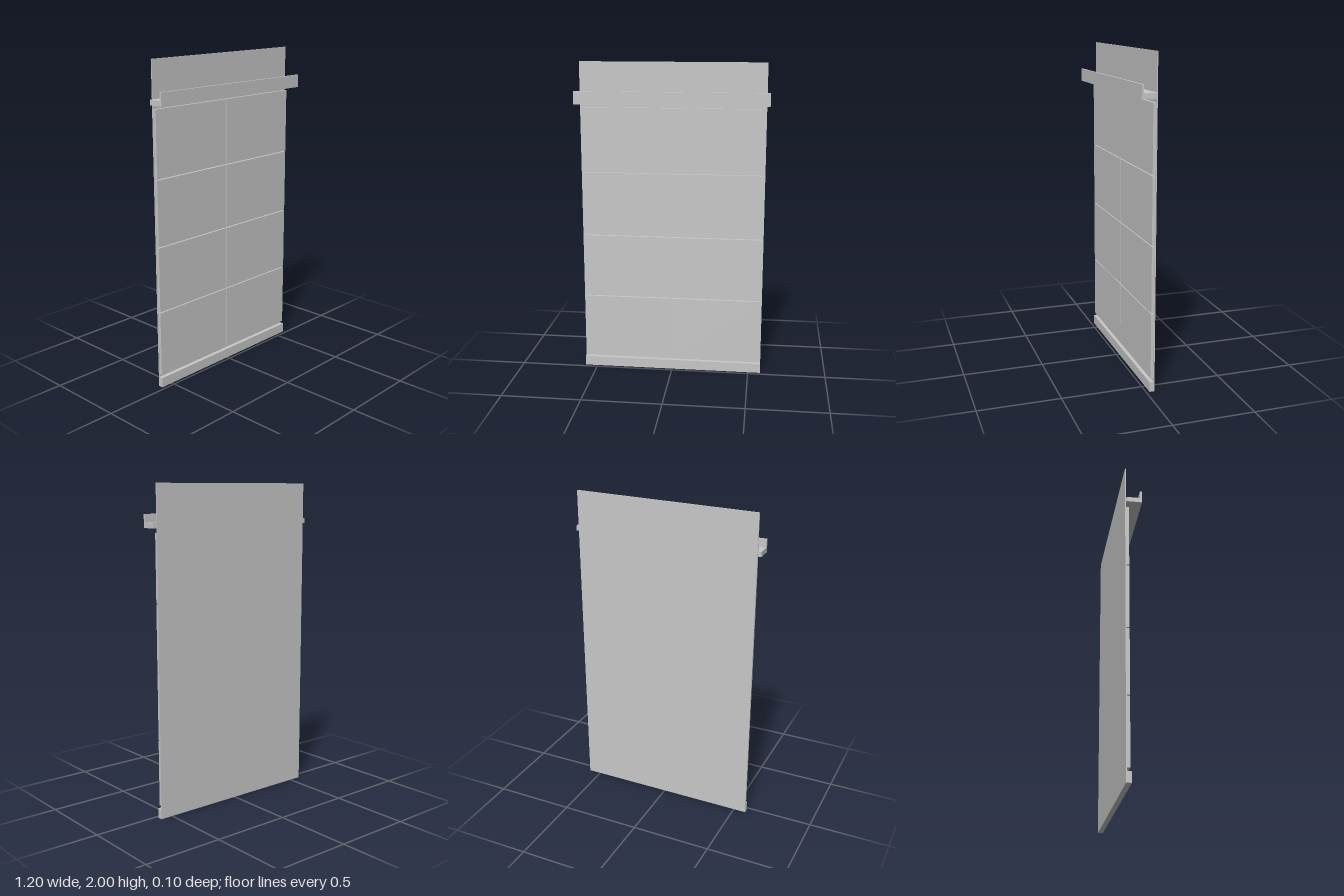
import * as THREE from 'three';

export function createModel() {
  const group = new THREE.Group();
  group.name = 'panelledWall';
  const grey = new THREE.MeshStandardMaterial({ color: 0xc8c8c8 });
  grey.name = 'lightGrey';

  // Box given by its minimum and maximum corners
  function box(name, [x0, y0, z0], [x1, y1, z1]) {
    const mesh = new THREE.Mesh(new THREE.BoxGeometry(x1 - x0, y1 - y0, z1 - z0), grey);
    mesh.position.set((x0 + x1) / 2, (y0 + y1) / 2, (z0 + z1) / 2);
    mesh.name = name;
    group.add(mesh);
  }

  // Thin backing sheet and skirting board
  const wallFront = -0.045;
  box('backPanel', [-0.58, 0, -0.051], [0.58, 2, wallFront]);
  box('skirtingBoard', [-0.58, 0, wallFront], [0.58, 0.062, -0.02]);

  // Two columns of four raised panels with narrow gaps
  const rowGap = 0.006, columnGap = 0.004, bottom = 0.082, pitch = 0.411, outer = 0.576;
  for (let row = 0; row < 4; row++) {
    const y = bottom + row * pitch;
    for (const side of [-1, 1]) {
      const x0 = side < 0 ? -outer : columnGap / 2;
      box('raisedPanel', [x0, y, wallFront],
        [x0 + outer - columnGap / 2, y + pitch - rowGap, -0.027]);
    }
  }

  // Shelf rail with an upturned front lip, extruded along x
  const profile = new THREE.Shape([
    [wallFront, 1.745], [0.05, 1.745], [0.05, 1.825],
    [0.037, 1.825], [0.037, 1.776], [wallFront, 1.776],
  ].map(([z, y]) => new THREE.Vector2(z, y)));
  const railGeometry = new THREE.ExtrudeGeometry(profile, { depth: 1.2, bevelEnabled: false });
  railGeometry.translate(0, 0, -0.6).rotateY(-Math.PI / 2);
  const rail = new THREE.Mesh(railGeometry, grey);
  rail.name = 'shelfRail';
  group.add(rail);

  return group;
}
